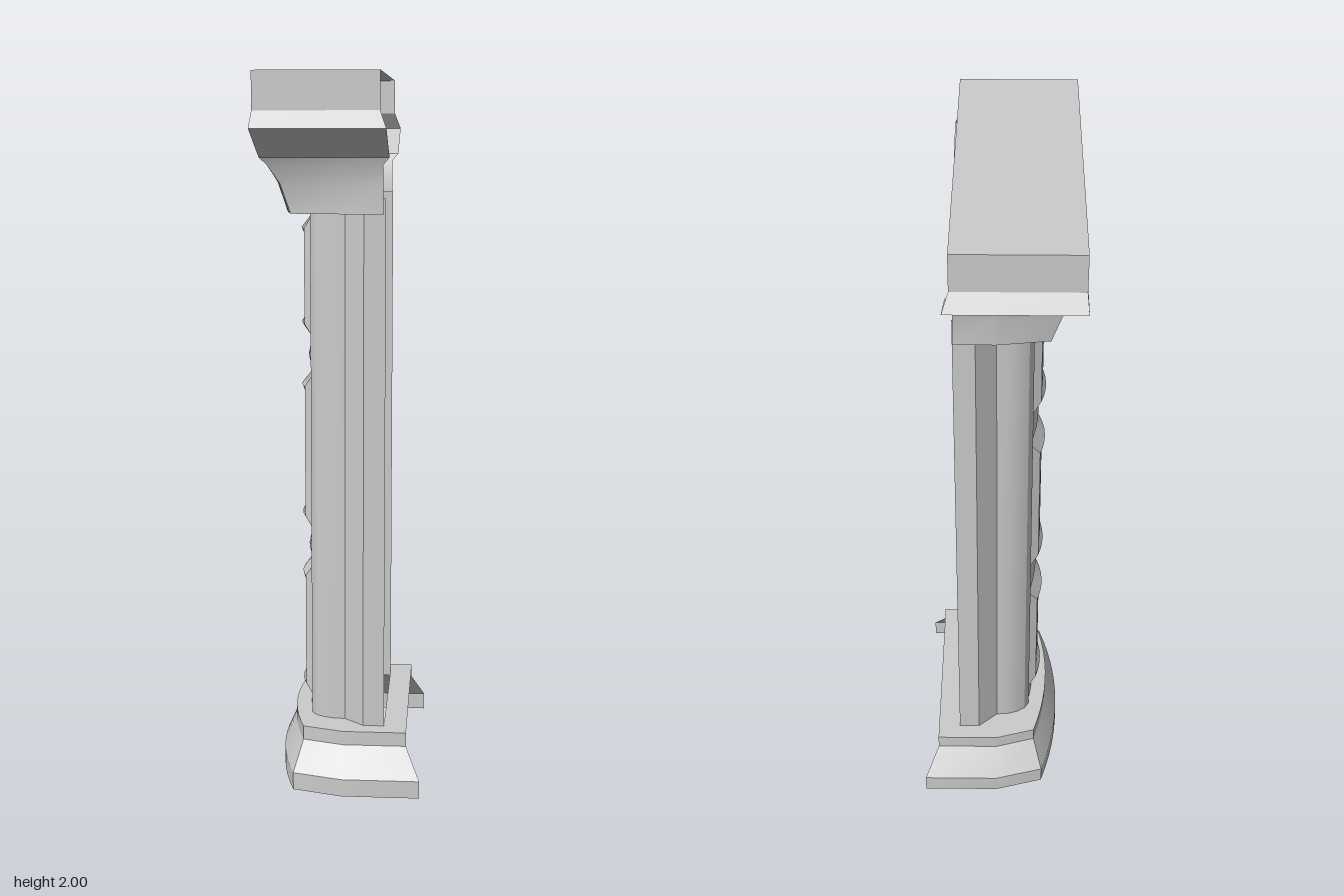
import * as THREE from 'three';
import { toCreasedNormals } from 'three/addons/utils/BufferGeometryUtils.js';

const material = new THREE.MeshStandardMaterial({ color: 0xcccccc, side: THREE.DoubleSide });

function addMesh(parent, name, geometry) {
  const mesh = new THREE.Mesh(geometry, material);
  mesh.name = name;
  parent.add(mesh);
}

// Skin a list of rows, each holding the same number of [x, y, z] points.
function loft(rows) {
  const n = rows[0].length;
  const index = [];
  for (let r = 0; r < rows.length - 1; r++) {
    for (let i = 0; i < n - 1; i++) {
      const a = r * n + i, b = a + 1, c = a + n, d = c + 1;
      index.push(a, c, b, b, c, d);
    }
  }
  const geometry = new THREE.BufferGeometry();
  geometry.setAttribute('position', new THREE.Float32BufferAttribute(rows.flat(2), 3));
  geometry.setIndex(index);
  return toCreasedNormals(geometry, 0.4);
}

// Half a plan given as [x, z] points, mirrored into a full path.
const mirrorPath = (half) => [...half, ...half.map(([x, z]) => [x, -z]).reverse()];

// U-shaped plan: straight sides, angled corners and a bowed face towards -x.
function plan({ end, z, bend = 0, corner, cornerZ, front }) {
  const steps = 6, half = [[end, z], [bend, z]];
  for (let i = 0; i < steps; i++) {
    const t = 1 - i / steps;
    half.push([front + (corner - front) * t * t, cornerZ * t]);
  }
  const path = mirrorPath(half);
  path.splice(half.length, 0, [front, 0]);
  return path;
}

const atHeight = (path, y) => path.map(([x, z]) => [x, y, z]);

// Horizontal sheet with an optional hole.
function sheet(outline, y, hole) {
  const toVectors = (path) => path.map(([x, z]) => new THREE.Vector2(x, z));
  const shape = new THREE.Shape(toVectors(outline));
  if (hole) shape.holes.push(new THREE.Path(toVectors(hole)));
  return new THREE.ShapeGeometry(shape).rotateX(-Math.PI / 2).translate(0, y, 0);
}

// One rectangular ring of a panel, bowed outward in the middle.
function panelRing(y0, y1, halfZ, edgeX, midX) {
  const n = 6, bottom = [], top = [];
  for (let i = 0; i <= n; i++) {
    const t = (i / n) * 2 - 1;
    const x = midX + (edgeX - midX) * t * t;
    bottom.push([x, y0, t * halfZ]);
    top.push([x, y1, t * halfZ]);
  }
  return { bottom, top, loop: [...bottom, ...top.slice().reverse(), bottom[0]] };
}

export function createModel() {
  const model = new THREE.Group();
  model.name = 'halfPillar';

  // Column plan, from the open side round to the panel edge
  const columnHalf = [[0.115, 0.24], [0.055, 0.24], [0, 0.19], [-0.035, 0.187],
    [-0.065, 0.177], [-0.087, 0.162], [-0.1, 0.14]];
  const column = mirrorPath(columnHalf);

  // Base: plinth, slope and upper band, open towards +x
  const base = new THREE.Group();
  base.name = 'base';
  const foot = plan({ end: 0.22, z: 0.35, corner: -0.14, cornerZ: 0.31, front: -0.19 });
  const band = plan({ end: 0.18, z: 0.29, corner: -0.115, cornerZ: 0.255, front: -0.155 });
  addMesh(base, 'baseMoulding', loft([
    atHeight(foot, 0), atHeight(foot, 0.05), atHeight(band, 0.13), atHeight(band, 0.17)]));
  addMesh(base, 'baseTop', sheet(band, 0.17, column));
  model.add(base);

  // Side shafts
  for (const s of [1, -1]) {
    const path = columnHalf.map(([x, z]) => [x, z * s]);
    if (s < 0) path.reverse();
    addMesh(model, s > 0 ? 'frontShaft' : 'backShaft',
      loft([atHeight(path, 0.15), atHeight(path, 1.67)]));
  }

  // Three panels, each with rib, groove, raised lip and sunken field
  const levels = [0.15, 0.66, 1.22, 1.67];
  for (let i = 0; i < 3; i++) {
    const [y0, y1] = [levels[i], levels[i + 1]];
    const ring = (inset, halfZ, edgeX, midX) =>
      panelRing(y0 + inset, y1 - inset, halfZ, edgeX, midX);
    const rings = [
      ring(0, 0.14, -0.1, -0.116),
      ring(0.05, 0.105, -0.095, -0.104),
      ring(0.09, 0.09, -0.122, -0.136),
      ring(0.105, 0.078, -0.122, -0.127)];
    const panel = new THREE.Group();
    panel.name = 'panel' + (i + 1);
    addMesh(panel, 'panelFrame', loft(rings.map((r) => r.loop)));
    addMesh(panel, 'panelField', loft([rings[3].bottom, rings[3].top]));
    model.add(panel);
  }

  // Capital: bowed neck, wide flare and top slab, open towards +x
  const cap = new THREE.Group();
  cap.name = 'capital';
  const neck = { end: 0.11, z: 0.295, corner: -0.14, cornerZ: 0.275, front: -0.17 };
  const box = (end, z, front) => plan({ end, z, corner: front, cornerZ: z, front });
  const neckPlan = plan(neck);
  const slab = box(0.11, 0.48, -0.217);
  addMesh(cap, 'capMoulding', loft([
    atHeight(neckPlan, 1.63),
    atHeight(plan({ ...neck, corner: -0.167, cornerZ: 0.285, front: -0.196 }), 1.71),
    atHeight(plan({ ...neck, z: 0.308, corner: -0.2, cornerZ: 0.304, front: -0.214 }), 1.76),
    atHeight(box(0.127, 0.315, -0.22), 1.78),
    atHeight(box(0.127, 0.51, -0.222), 1.855),
    atHeight(box(0.11, 0.48, -0.217), 1.9),
    atHeight(slab, 2)]));
  addMesh(cap, 'capTop', sheet(slab, 2));
  // Underside running round the shaft
  const inner = column.map(([x, z]) => [Math.min(x, 0.11), z]).reverse();
  addMesh(cap, 'capUnderside', sheet([...neckPlan, ...inner], 1.63));
  model.add(cap);

  // Sheets are laid out with z mirrored; the plan is symmetric so they match.
  return model;
}
